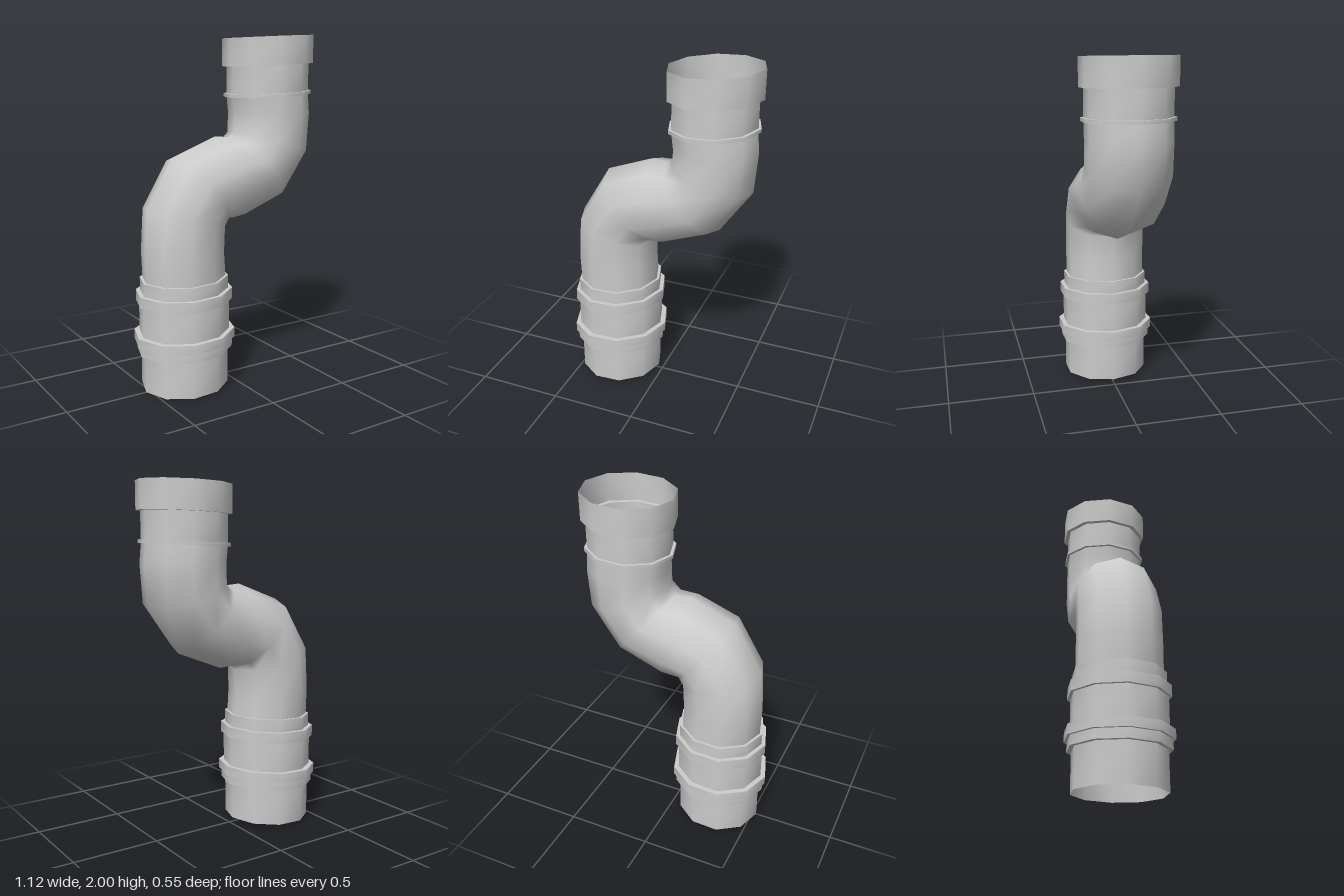
import * as THREE from 'three';

const SIDES = 10;
const SLOPE = 0.046; // every joint is cut slightly askew, higher on +x
const material = new THREE.MeshStandardMaterial({ color: 0xcccccc, side: THREE.DoubleSide });

// A ring is given by its -x and +x corner points and its half depth in z.
const ring = (xl, yl, xr, yr, depth) => ({ xl, yl, xr, yr, depth });
const level = (cx, y, r) => ring(cx - r, y - r * SLOPE, cx + r, y + r * SLOPE, r);

// Smooth skin through a list of rings, from bottom to top.
function skin(rings, name) {
  const pos = [], index = [];
  rings.forEach((s, i) => {
    for (let j = 0; j < SIDES; j++) {
      const a = (j / SIDES) * Math.PI * 2;
      const t = (1 + Math.cos(a)) / 2;
      pos.push(s.xl + (s.xr - s.xl) * t, s.yl + (s.yr - s.yl) * t, s.depth * Math.sin(a));
      if (i === rings.length - 1) continue;
      const k = (j + 1) % SIDES;
      const p = i * SIDES + j, q = i * SIDES + k;
      index.push(p, p + SIDES, q, q, p + SIDES, q + SIDES);
    }
  });
  const geo = new THREE.BufferGeometry();
  geo.setAttribute('position', new THREE.Float32BufferAttribute(pos, 3));
  geo.setIndex(index);
  geo.computeVertexNormals();
  const mesh = new THREE.Mesh(geo, material);
  mesh.name = name;
  return mesh;
}

// Stepped straight pipe: each [radius, height] band keeps its hard edges.
function steppedPipe(cx, profile, name) {
  const group = new THREE.Group();
  group.name = name;
  for (let i = 0; i < profile.length - 1; i++) {
    const [r0, y0] = profile[i], [r1, y1] = profile[i + 1];
    const kind = r0 === r1 ? 'Wall' : 'Step';
    group.add(skin([level(cx, y0, r0), level(cx, y1, r1)], name + kind + i));
  }
  return group;
}

export function createModel() {
  const model = new THREE.Group();
  model.name = 'offsetPipe';
  const R = 0.2375, LOW = -0.274, HIGH = 0.297;

  // lower coupling sleeve with two raised bands
  model.add(steppedPipe(LOW, [
    [0.251, 0.012], [0.251, 0.228], [0.275, 0.228], [0.275, 0.282],
    [0.29, 0.282], [0.29, 0.336], [0.26, 0.336], [0.26, 0.512],
    [0.277, 0.512], [0.277, 0.575], [0.253, 0.575], [0.253, 0.648], [R, 0.648],
  ], 'lowerSleeve'));

  // S-shaped bend
  model.add(skin([
    level(LOW, 0.648, R),
    ring(-0.517, 0.79, -0.045, 0.79, R),
    ring(-0.5, 1.05, -0.04, 0.93, R),
    ring(-0.33, 1.33, -0.025, 0.953, R),
    ring(-0.065, 1.43, 0.066, 0.95, R),
    ring(0.03, 1.423, 0.344, 1.06, R),
    ring(0.068, 1.45, 0.527, 1.32, R),
    ring(0.07, 1.56, 0.545, 1.55, R),
    level(HIGH, 1.655, R),
  ], 'bend'));

  // upper neck with a thin bead and a wider open socket
  model.add(steppedPipe(HIGH, [
    [R, 1.655], [0.254, 1.655], [0.254, 1.675], [R, 1.675],
    [R, 1.83], [0.263, 1.83], [0.263, 1.988],
  ], 'upperSocket'));

  return model;
}
